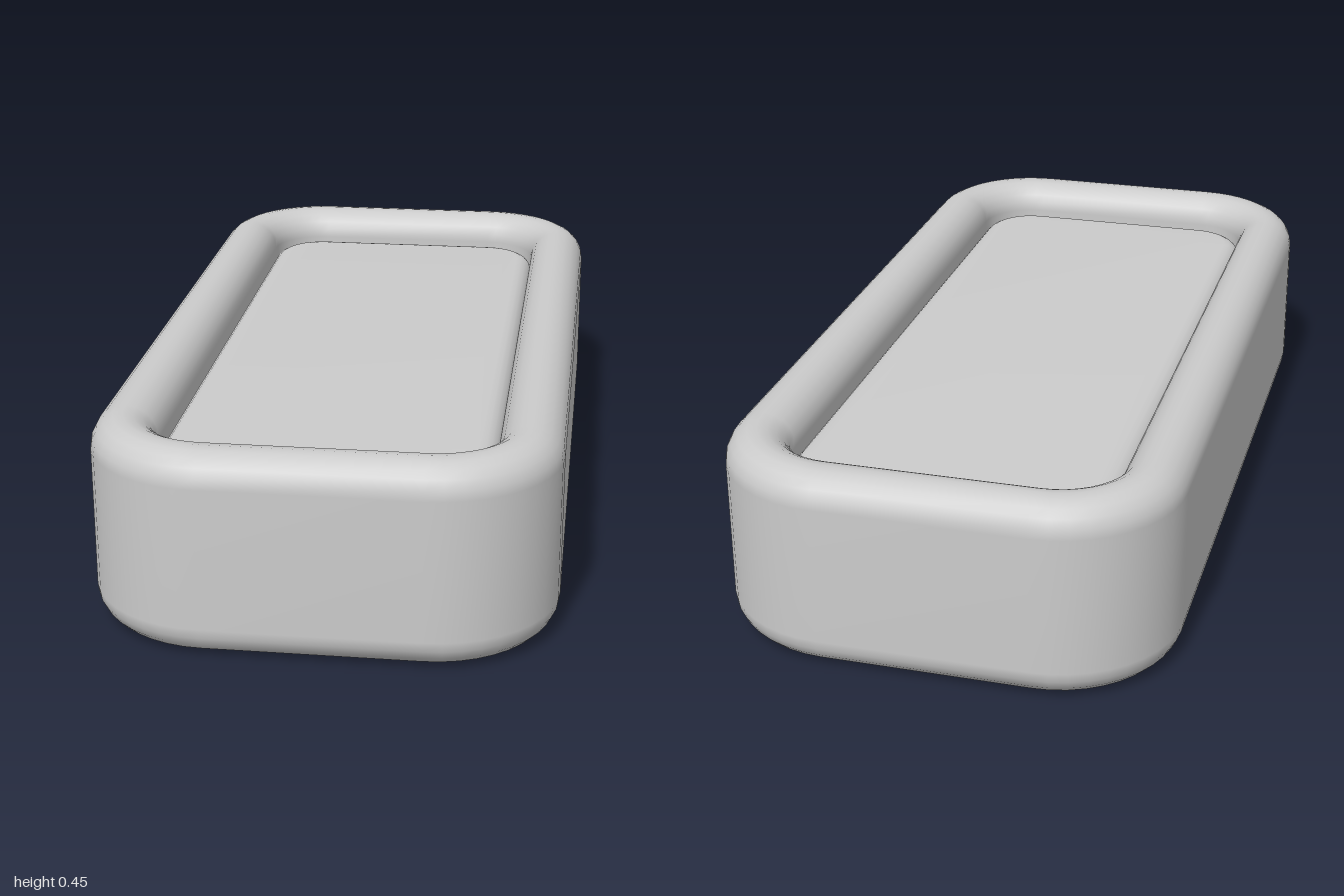
import * as THREE from 'three';
import { toCreasedNormals } from 'three/addons/utils/BufferGeometryUtils.js';

const HALF_W = 0.5, HALF_L = 1, HEIGHT = 0.45;
const CORNER = 0.27; // outer corner radius in plan
const RIM = 0.14; // wall thickness, fully rounded above and below

// Plan outline of the tray, moved inwards by inset, as [x, z] points
function outline(inset, steps = 10) {
  const points = [];
  const r = CORNER - inset;
  const corners = [[1, 1], [-1, 1], [-1, -1], [1, -1]];
  corners.forEach(([sx, sz], k) => {
    for (let i = 0; i <= steps; i++) {
      const a = (k + i / steps) * Math.PI / 2;
      points.push([
        sx * (HALF_W - CORNER) + r * Math.cos(a),
        sz * (HALF_L - CORNER) + r * Math.sin(a),
      ]);
    }
  });
  return points;
}

// Closed wall: a capsule-shaped section carried round the outline
function frameGeometry() {
  const r = RIM / 2, arc = 10;
  const section = [];
  for (let i = 0; i <= arc; i++) {
    const a = Math.PI * i / arc;
    section.push([r - r * Math.cos(a), HEIGHT - r + r * Math.sin(a)]);
  }
  for (let i = 0; i <= arc; i++) {
    const a = Math.PI * i / arc;
    section.push([r + r * Math.cos(a), r - r * Math.sin(a)]);
  }

  const positions = [], index = [];
  for (const [inset, y] of section) {
    for (const [x, z] of outline(inset)) positions.push(x, y, z);
  }
  const rows = section.length, cols = positions.length / 3 / rows;
  for (let i = 0; i < rows; i++) {
    for (let j = 0; j < cols; j++) {
      const i2 = (i + 1) % rows, j2 = (j + 1) % cols;
      const a = i * cols + j, b = i * cols + j2;
      const c = i2 * cols + j2, d = i2 * cols + j;
      index.push(a, d, b, b, d, c);
    }
  }
  const geometry = new THREE.BufferGeometry();
  geometry.setAttribute('position', new THREE.Float32BufferAttribute(positions, 3));
  geometry.setIndex(index);
  geometry.computeVertexNormals();
  return geometry;
}

// Slab with softened edges, fitted inside the wall
function panelGeometry(bottom, top, bevel) {
  const shape = new THREE.Shape(outline(RIM).map(([x, z]) => new THREE.Vector2(x, z)));
  const geometry = new THREE.ExtrudeGeometry(shape, {
    depth: top - bottom - 2 * bevel,
    bevelEnabled: true,
    bevelThickness: bevel,
    bevelSize: bevel,
    bevelOffset: -bevel,
    bevelSegments: 5,
  });
  geometry.rotateX(-Math.PI / 2);
  geometry.translate(0, bottom + bevel, 0);
  return toCreasedNormals(geometry, 0.7);
}

export function createModel() {
  const material = new THREE.MeshStandardMaterial({ color: 0xcccccc });
  const model = new THREE.Group();
  model.name = 'framedSlab';

  const frame = new THREE.Mesh(frameGeometry(), material);
  frame.name = 'roundedFrame';

  const panel = new THREE.Mesh(panelGeometry(0.03, 0.375, 0.04), material);
  panel.name = 'recessedPanel';

  model.add(frame, panel);
  return model;
}
